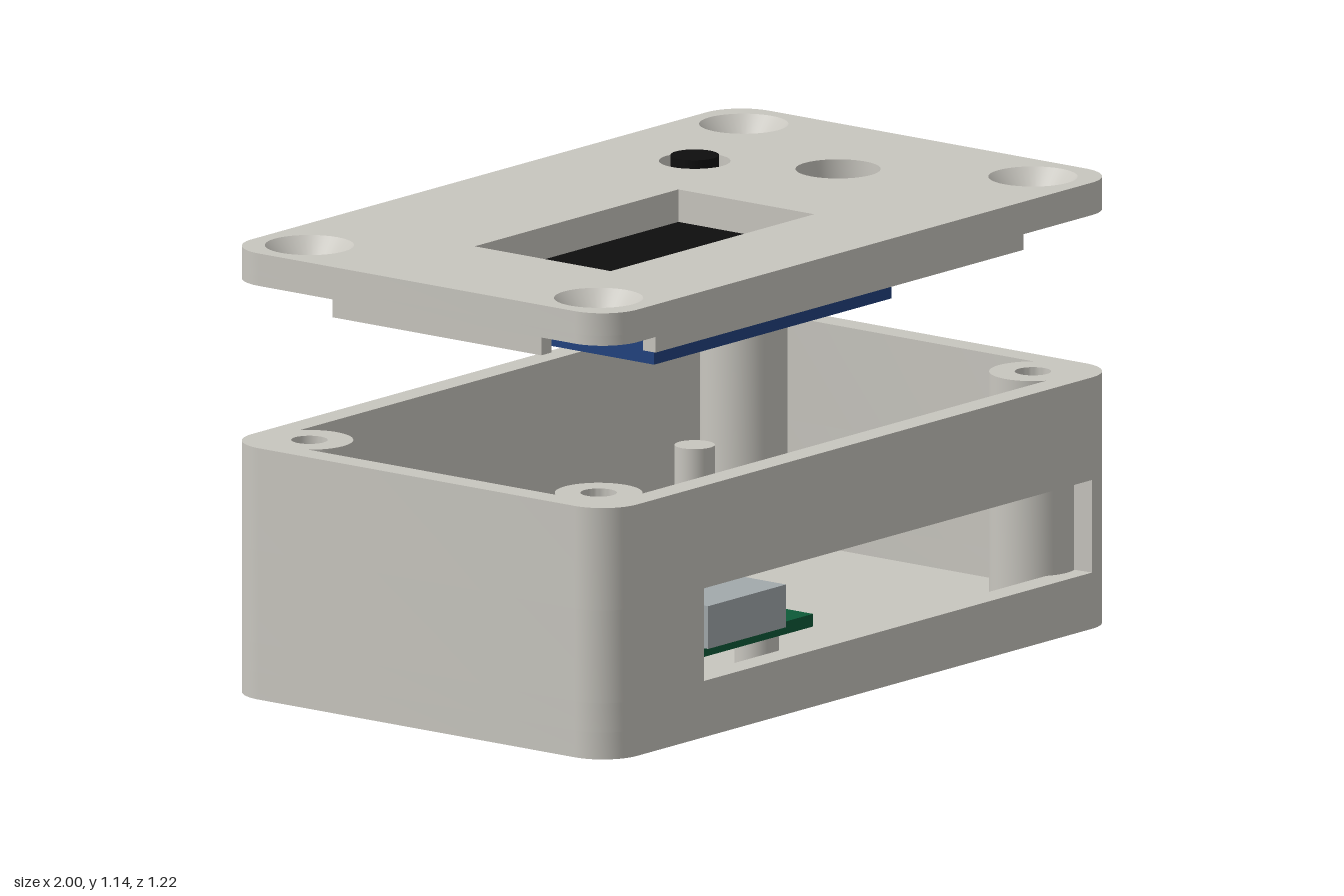
import * as THREE from 'three';
import { toCreasedNormals } from 'three/addons/utils/BufferGeometryUtils.js';

const mat = (name, color) => {
  const m = new THREE.MeshStandardMaterial({ color });
  m.name = name;
  return m;
};

export function createModel() {
  const shell = mat('shellGrey', 0xc8c6bf);
  const black = mat('black', 0x0e0e0e);
  const blue = mat('boardBlue', 0x22427f);
  const purple = mat('boardPurple', 0x4b2c72);
  const green = mat('boardGreen', 0x0d5a38);
  const metal = mat('metalGrey', 0xa2a9ac);
  const pad = mat('padSilver', 0xd6d6d2);

  const model = new THREE.Group();
  model.name = 'electronicsEnclosure';
  const group = (name) => {
    const g = new THREE.Group();
    g.name = name;
    model.add(g);
    return g;
  };
  const add = (parent, name, geo, material) => {
    const m = new THREE.Mesh(geo, material);
    m.name = name;
    parent.add(m);
    return m;
  };
  // Box and upright cylinder given by their limits
  const box = (parent, name, material, x0, x1, y0, y1, z0, z1) => {
    const g = new THREE.BoxGeometry(x1 - x0, y1 - y0, z1 - z0);
    g.translate((x0 + x1) / 2, (y0 + y1) / 2, (z0 + z1) / 2);
    return add(parent, name, g, material);
  };
  const rod = (parent, name, material, x, z, r, y0, y1) => {
    const g = new THREE.CylinderGeometry(r, r, y1 - y0, 32);
    g.translate(x, (y0 + y1) / 2, z);
    return add(parent, name, g, material);
  };
  // Rounded rectangle traced counterclockwise, starting and ending on its front edge
  const loop = (hw, hd, r, from = 0, to = 0) => {
    const p = new THREE.Path();
    const h = Math.PI / 2;
    p.moveTo(from, -hd);
    p.absarc(hw - r, -hd + r, r, -h, 0);
    p.absarc(hw - r, hd - r, r, 0, h);
    p.absarc(-hw + r, hd - r, r, h, 2 * h);
    p.absarc(-hw + r, -hd + r, r, 2 * h, 3 * h);
    p.lineTo(to, -hd);
    return p.getPoints(10);
  };
  const circle = (x, z, r) => new THREE.Path().absarc(x, -z, r, 0, Math.PI * 2, true);
  // Plan shape raised between two heights
  const raise = (parent, name, points, holes, y0, y1, material = shell) => {
    const s = new THREE.Shape(points);
    s.holes.push(...holes);
    const g = new THREE.ExtrudeGeometry(s, { depth: y1 - y0, bevelEnabled: false, curveSegments: 20 });
    g.rotateX(-Math.PI / 2);
    g.translate(0, y0, 0);
    return add(parent, name, toCreasedNormals(g, 0.6), material);
  };
  const corners = [[-0.85, -0.46], [0.85, -0.46], [-0.85, 0.455], [0.85, 0.455]];

  // ---- Case: floor, walls with a connector window, screw posts ----
  const base = group('case');
  const outer = loop(1, 0.61, 0.11);
  const inner = loop(0.935, 0.545, 0.05);
  raise(base, 'floor', outer, [], 0, 0.068);
  raise(base, 'lowerWall', outer, [new THREE.Path(inner)], 0.068, 0.142);
  raise(base, 'upperWall', outer, [new THREE.Path(inner)], 0.376, 0.635);
  const openWall = loop(1, 0.61, 0.11, -0.2, -0.63)
    .concat(loop(0.935, 0.545, 0.05, -0.2, -0.63).reverse());
  raise(base, 'windowWall', openWall, [], 0.142, 0.376);
  for (const [x, z] of corners) {
    const ring = new THREE.Path().absarc(x, -z, 0.108, 0, Math.PI * 2).getPoints(24);
    raise(base, 'screwPost', ring, [circle(x, z, 0.045)], 0.068, 0.635);
  }
  rod(base, 'buttonSupport', shell, 0.46, -0.3, 0.05, 0.068, 0.41);

  // ---- Controller board inside the case ----
  const board = group('controllerBoard');
  const holes = [];
  for (const x of [-0.675, -0.155]) {
    for (let i = 0; i < 8; i++) holes.push([x, -0.16 + i * 0.0865]);
  }
  box(board, 'controllerPlate', green, -0.72, -0.11, 0.175, 0.207, -0.235, 0.535);
  for (const [x, z] of holes) {
    const g = new THREE.RingGeometry(0.016, 0.03, 16);
    g.rotateX(-Math.PI / 2);
    g.translate(x, 0.209, z);
    add(board, 'solderPad', g, pad);
  }
  box(board, 'usbSocket', metal, -0.57, -0.265, 0.207, 0.315, 0.33, 0.575);
  for (const x of [-0.587, -0.248]) box(board, 'resetKey', black, x - 0.02, x + 0.02, 0.207, 0.262, 0.2, 0.31);
  box(board, 'processor', black, -0.54, -0.29, 0.207, 0.235, -0.18, 0.05);
  for (const x of [-0.575, -0.25]) {
    for (const z of [-0.15, 0.47]) rod(board, 'boardStandoff', shell, x, z, 0.055, 0.068, 0.175);
  }

  // ---- Lid: plate, countersunk holes, openings, locating rails ----
  const lid = group('lid');
  const openings = () => [
    new THREE.Path([[-0.605, -0.295], [-0.605, 0.135], [0.192, 0.135], [0.192, -0.295]]
      .map(([x, y]) => new THREE.Vector2(x, y))),
    circle(0.46, -0.3, 0.088),
    circle(0.613, 0.03, 0.105),
  ];
  const screwHoles = (r) => corners.map(([x, z]) => circle(x, z, r));
  raise(lid, 'lidUnderside', outer, [...openings(), ...screwHoles(0.06)], 1.045, 1.07);
  raise(lid, 'lidTop', outer, [...openings(), ...screwHoles(0.11)], 1.07, 1.127);
  const shellOpen = shell.clone();
  shellOpen.side = THREE.DoubleSide;
  for (const [x, z] of corners) {
    const g = new THREE.CylinderGeometry(0.11, 0.06, 0.057, 40, 1, true);
    g.translate(x, 1.0985, z);
    add(lid, 'countersink', g, shellOpen);
  }
  for (const s of [-1, 1]) {
    box(lid, 'longRail', shell, -0.72, 0.72, 0.976, 1.045, s * 0.51 - 0.02, s * 0.51 + 0.02);
    box(lid, 'shortRail', shell, s * 0.9 - 0.02, s * 0.9 + 0.02, 0.976, 1.045, -0.33, 0.33);
  }

  // ---- Display hung under the lid ----
  const display = group('display');
  box(display, 'displayBoard', blue, -0.67, 0.26, 0.93, 0.986, -0.46, 0.485);
  box(display, 'displayGlass', black, -0.66, 0.25, 0.986, 1.04, -0.33, 0.335);
  for (const x of [-0.59, 0.18]) {
    for (const z of [-0.4, 0.41]) rod(display, 'displayStandoff', shell, x, z, 0.072, 0.986, 1.045);
  }

  // ---- Sensor under its round opening ----
  const sensor = group('sensor');
  box(sensor, 'sensorBoard', purple, 0.36, 0.87, 0.95, 1.005, -0.11, 0.28);
  box(sensor, 'sensorChip', metal, 0.57, 0.655, 1.005, 1.03, -0.012, 0.07);
  for (const z of [-0.05, 0.22]) rod(sensor, 'sensorStandoff', shell, 0.818, z, 0.048, 1.005, 1.045);

  // ---- Push button with legs and guide pins ----
  const button = group('pushButton');
  box(button, 'buttonBody', black, 0.35, 0.57, 0.822, 0.936, -0.4, -0.2);
  rod(button, 'buttonPlunger', black, 0.46, -0.3, 0.06, 0.936, 1.142);
  for (const sx of [-1, 1]) {
    for (const sz of [-1, 1]) {
      const x = 0.46 + sx * 0.137;
      const z = -0.3 + sz * 0.08;
      box(button, 'buttonLeg', metal, x - 0.028, x + 0.028, 0.822, 0.832, z - 0.018, z + 0.018);
      rod(button, 'guidePin', shell, 0.46 + sx * 0.085, -0.3 + sz * 0.088, 0.013, 0.936, 1.045);
    }
  }
  return model;
}
